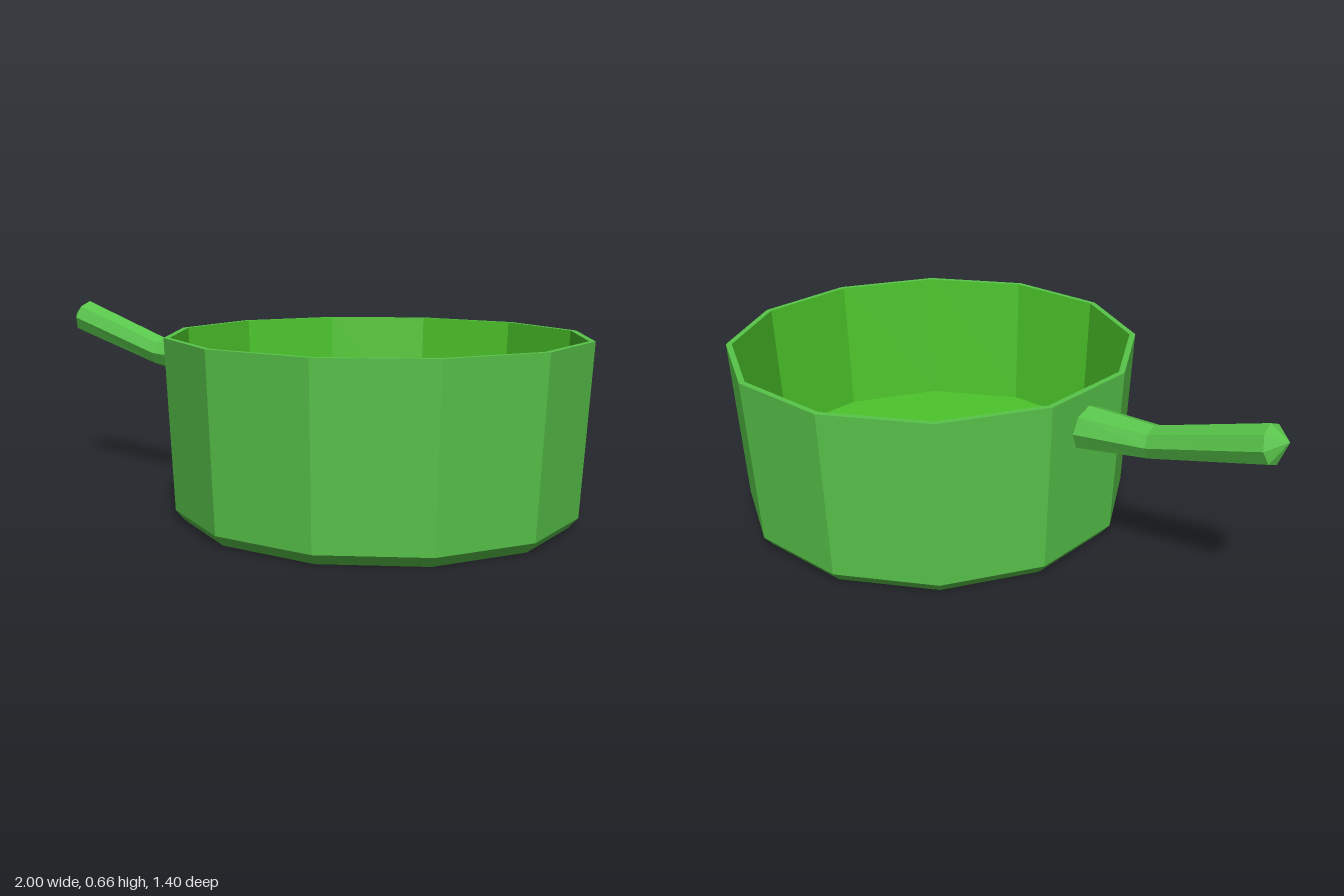
import * as THREE from 'three';

const outerGreen = new THREE.MeshStandardMaterial({ color: 0x58c54a, flatShading: true });
outerGreen.name = 'outer green';
const innerGreen = new THREE.MeshStandardMaterial({ color: 0x4cc52a, flatShading: true });
innerGreen.name = 'inner green';

// Twelve-sided turned shape from [radius, y] pairs
function turned(name, profile, material) {
  const points = profile.map(([r, y]) => new THREE.Vector2(r, y));
  const mesh = new THREE.Mesh(new THREE.LatheGeometry(points, 12), material);
  mesh.name = name;
  return mesh;
}

// Skin over eight-sided rings, each facing its own direction
function loft(rings, sides = 8) {
  const positions = [];
  const index = [];
  const worldUp = new THREE.Vector3(0, 1, 0);
  rings.forEach(({ center, facing, width, height }, i) => {
    const forward = new THREE.Vector3(...facing).normalize();
    const side = new THREE.Vector3().crossVectors(worldUp, forward).normalize();
    const up = new THREE.Vector3().crossVectors(forward, side);
    for (let j = 0; j < sides; j++) {
      const a = (j / sides) * Math.PI * 2;
      const p = new THREE.Vector3(...center)
        .addScaledVector(side, Math.cos(a) * width)
        .addScaledVector(up, Math.sin(a) * height);
      positions.push(p.x, p.y, p.z);
      if (i === rings.length - 1) continue;
      const k = (j + 1) % sides;
      const a0 = i * sides + j, a1 = i * sides + k;
      index.push(a0, a1, a1 + sides);
      // The last ring is a single point, so it needs no second triangle
      if (rings[i + 1].width > 0) index.push(a0, a1 + sides, a0 + sides);
    }
  });
  const geometry = new THREE.BufferGeometry();
  geometry.setAttribute('position', new THREE.Float32BufferAttribute(positions, 3));
  geometry.setIndex(index);
  geometry.computeVertexNormals();
  return geometry;
}

export function createModel() {
  const model = new THREE.Group();
  model.name = 'saucepan';

  // Pan body: bevelled foot, flared wall and flat rim
  const pan = new THREE.Group();
  pan.name = 'pan';
  pan.position.x = 0.3;
  pan.add(
    turned('outerShell', [[0, 0], [0.64, 0], [0.67, 0.035], [0.7, 0.6], [0.68, 0.6]], outerGreen),
    turned('innerShell', [[0.68, 0.6], [0.655, 0.13], [0, 0.13]], innerGreen),
  );
  model.add(pan);

  // Handle: level at the wall, bending upward to a pointed tip
  const handle = new THREE.Mesh(loft([
    { center: [-0.338, 0.47, -0.17], facing: [-0.966, 0, -0.259], width: 0.075, height: 0.075 },
    { center: [-0.585, 0.486, -0.213], facing: [-0.96, 0.13, -0.24], width: 0.059, height: 0.054 },
    { center: [-0.957, 0.6, -0.312], facing: [-0.94, 0.24, -0.2], width: 0.064, height: 0.062 },
    { center: [-1, 0.612, -0.307], facing: [-0.94, 0.24, -0.2], width: 0, height: 0 },
  ]), outerGreen);
  handle.name = 'handle';
  model.add(handle);

  return model;
}
